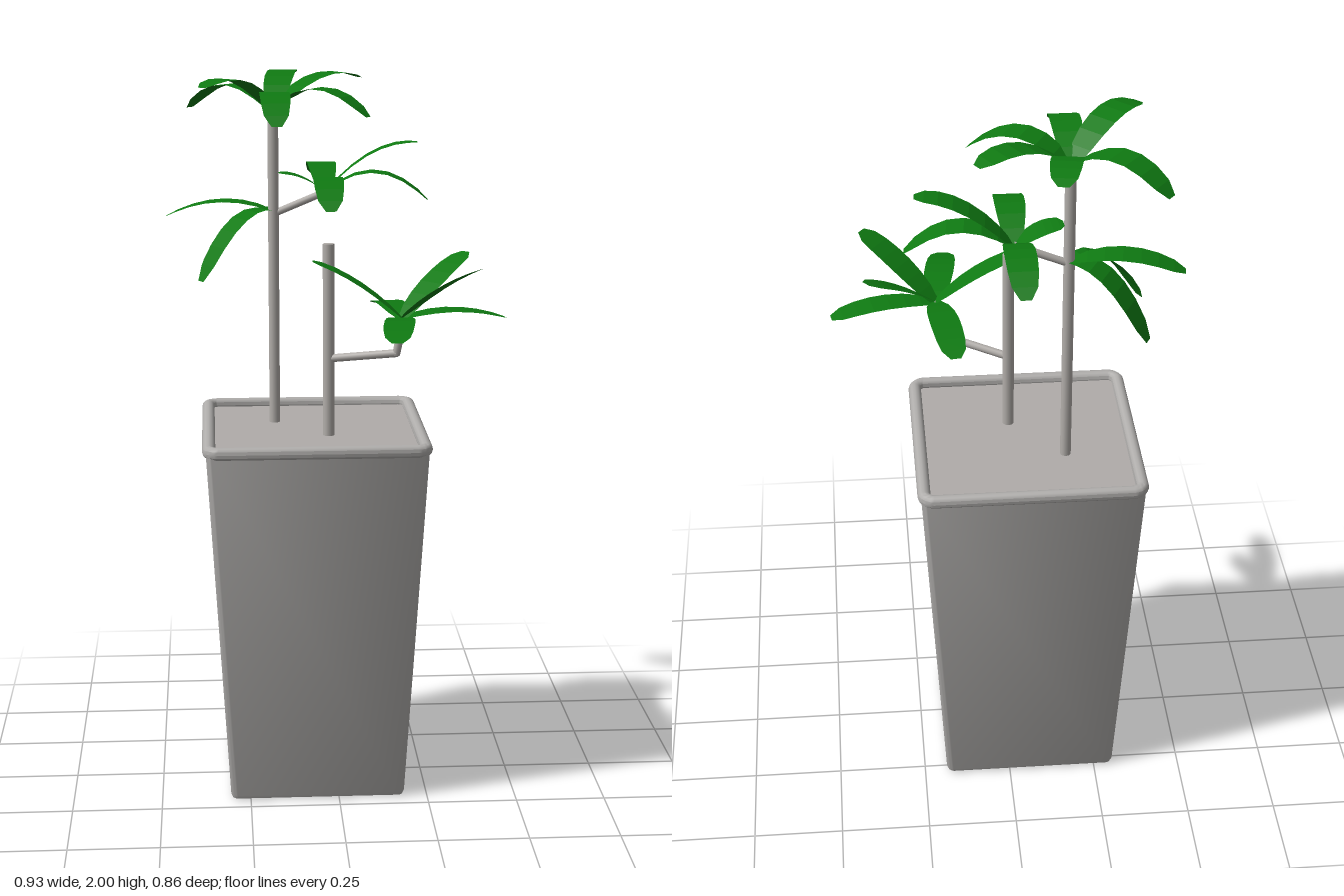
import * as THREE from 'three';
import { toCreasedNormals } from 'three/addons/utils/BufferGeometryUtils.js';

const SIDES = 28, CX = -0.06, CZ = -0.04;

// Push the quarters of a round form apart so it becomes a rounded square
function squareOff(geo, half) {
  const p = geo.attributes.position;
  for (let i = 0; i < p.count; i++) {
    const x = p.getX(i), y = p.getY(i), z = p.getZ(i);
    if (Math.hypot(x, z) < 1e-6) continue;
    p.setXYZ(i, x + Math.sign(x) * half(y), y, z + Math.sign(z) * half(y));
  }
  geo.computeVertexNormals();
  return toCreasedNormals(geo, 0.7);
}

// Half-widths of a leaf from base to blunt tip
const LEAF = [[0, 0.016], [0.14, 0.031], [0.29, 0.038], [0.45, 0.041], [0.61, 0.041], [0.76, 0.039], [0.9, 0.033], [1, 0.014]];

// Flat arching blade from base to tip; lift raises the middle of the curve
function leafGeometry(base, tip, lift) {
  const a = new THREE.Vector3(...base), b = new THREE.Vector3(...tip);
  const mid = a.clone().lerp(b, 0.5);
  mid.y += lift;
  const curve = new THREE.QuadraticBezierCurve3(a, mid, b);
  const side = new THREE.Vector3(b.z - a.z, 0, a.x - b.x).normalize();
  const geo = new THREE.PlaneGeometry(1, 1, 1, LEAF.length - 1);
  const p = geo.attributes.position;
  LEAF.forEach(([t, w], row) => {
    const c = curve.getPoint(t);
    for (const k of [0, 1]) {
      const v = c.clone().addScaledVector(side, k ? -w : w);
      p.setXYZ(row * 2 + k, v.x, v.y, v.z);
    }
  });
  geo.computeVertexNormals();
  return geo;
}

export function createModel() {
  const mat = (name, color, extra = {}) => {
    const m = new THREE.MeshStandardMaterial({ color, ...extra });
    m.name = name;
    return m;
  };
  const potGrey = mat('pot grey', 0xb0aeac);
  const soilGrey = mat('soil grey', 0xb0acaa);
  const stemGrey = mat('stem grey', 0xb2aeaa);
  const leafGreen = mat('leaf green', 0x0f7a12, { side: THREE.DoubleSide, flatShading: true });

  const model = new THREE.Group();
  model.name = 'pottedPlant';
  const add = (name, geo, material, parent = model) => {
    const mesh = new THREE.Mesh(geo, material);
    mesh.name = name;
    parent.add(mesh);
    return mesh;
  };

  // Tapered square planter with softened edges
  const profile = [[0, 0], [0.008, 0], [0.017, 0.004], [0.021, 0.015], [0.022, 1.02]]
    .map(([x, y]) => new THREE.Vector2(x, y));
  const body = new THREE.LatheGeometry(profile, SIDES, Math.PI / SIDES);
  add('planterBody', squareOff(body, y => 0.224 + 0.056 * y), potGrey).position.set(CX, 0, CZ);

  // Rounded lip around the mouth
  const rim = new THREE.TorusGeometry(0.03, 0.018, 12, SIDES);
  rim.rotateZ(Math.PI / SIDES).rotateX(-Math.PI / 2);
  add('planterRim', squareOff(rim, () => 0.265), potGrey).position.set(CX, 1.026, CZ);

  const soil = new THREE.PlaneGeometry(0.58, 0.58).rotateX(-Math.PI / 2);
  add('soil', soil, soilGrey).position.set(CX, 1.022, CZ);

  // Stems and branches between two points
  const rod = (name, from, to, r) => {
    const a = new THREE.Vector3(...from), b = new THREE.Vector3(...to);
    const mesh = add(name, new THREE.CylinderGeometry(r, r, a.distanceTo(b), 12), stemGrey);
    mesh.position.copy(a).lerp(b, 0.5);
    mesh.quaternion.setFromUnitVectors(new THREE.Vector3(0, 1, 0), b.sub(a).normalize());
  };
  rod('tallStem', [-0.165, 1.02, -0.127], [-0.165, 1.92, -0.127], 0.015);
  rod('shortStem', [-0.02, 1.02, 0.04], [-0.02, 1.56, 0.04], 0.016);
  rod('upperBranch', [-0.165, 1.62, -0.127], [-0.02, 1.68, -0.127], 0.01);
  rod('lowerBranch', [-0.02, 1.24, 0.04], [0.163, 1.27, 0.122], 0.011);
  rod('lowerBranchTip', [0.16, 1.265, 0.12], [0.18, 1.37, 0.135], 0.011);

  // Leaf clusters: base point, then tip x, y, z and lift of every leaf
  const clusters = [
    ['crownLeaves', [-0.165, 1.905, -0.13], [
      [-0.395, 1.9, -0.315, 0.14], [-0.115, 1.985, -0.405, 0.1], [0.085, 1.985, -0.28, 0.1],
      [0.09, 1.9, 0.01, 0.14], [-0.163, 1.89, 0.163, 0.14], [-0.36, 1.985, 0.065, 0.1]]],
    ['branchLeaves', [-0.02, 1.68, -0.13], [
      [0.235, 1.82, -0.105, 0.08], [0.265, 1.66, -0.1, 0.136], [-0.025, 1.69, -0.43, 0.12],
      [-0.02, 1.665, 0.163, 0.13], [-0.15, 1.735, -0.12, 0.03]]],
    ['sideLeaves', [-0.17, 1.63, -0.13], [
      [-0.465, 1.61, -0.175, 0.07], [-0.37, 1.45, -0.015, 0.13], [-0.365, 1.44, -0.235, 0.13]]],
    ['lowerLeaves', [0.175, 1.37, 0.135], [
      [0.365, 1.525, -0.025, 0.03], [0.463, 1.36, 0.085, 0.045], [0.37, 1.525, 0.275, 0.03],
      [0.135, 1.36, 0.43, 0.045], [-0.068, 1.525, 0.115, 0.04], [0.135, 1.36, -0.155, 0.045]]],
  ];
  for (const [name, base, leaves] of clusters) {
    const group = new THREE.Group();
    group.name = name;
    model.add(group);
    for (const [x, y, z, lift] of leaves) {
      add('leaf', leafGeometry(base, [x, y, z], lift), leafGreen, group);
    }
  }
  return model;
}
